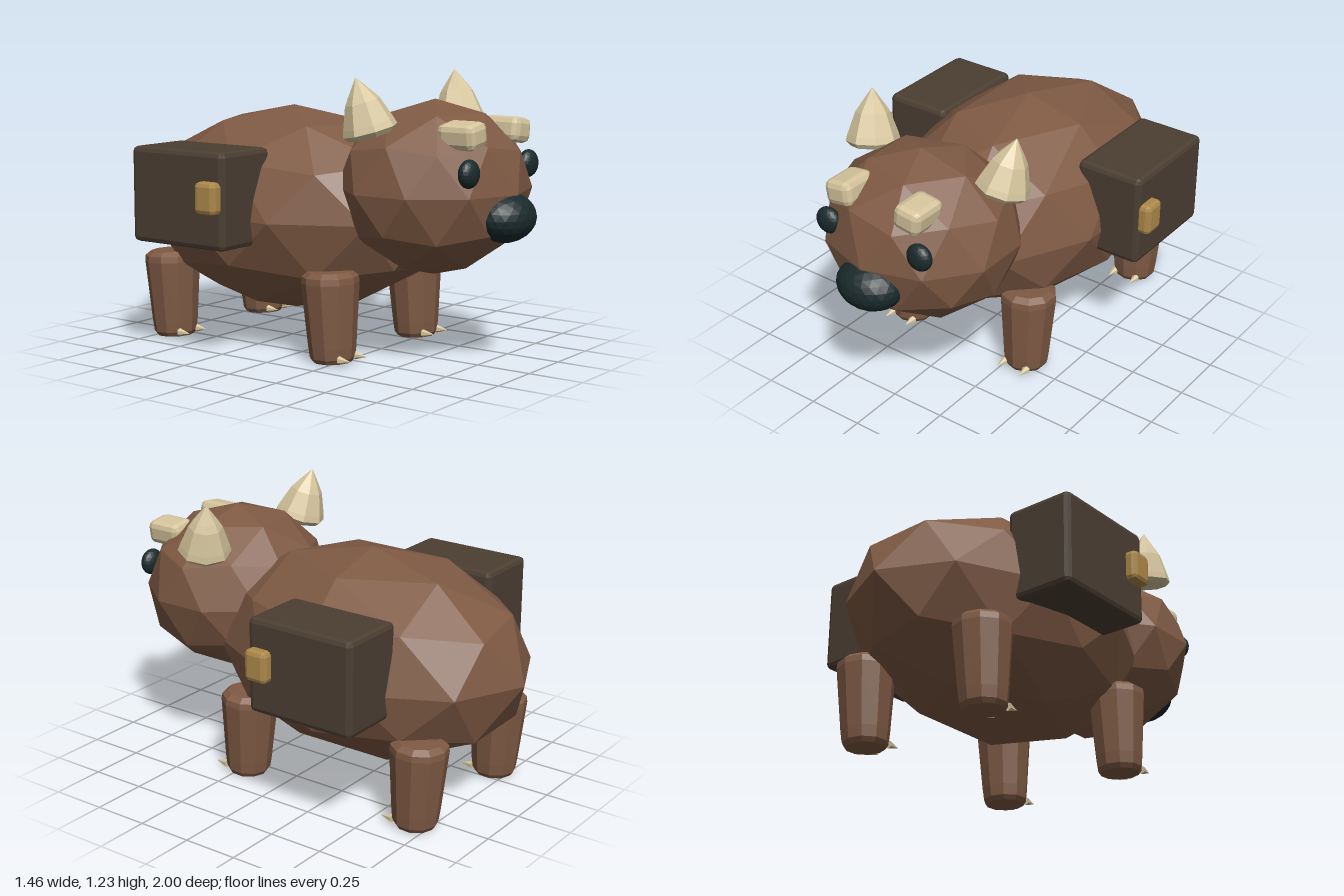
import * as THREE from 'three';
import { RoundedBoxGeometry } from 'three/addons/geometries/RoundedBoxGeometry.js';

function flat(name, color) {
  const m = new THREE.MeshStandardMaterial({ color, flatShading: true });
  m.name = name;
  return m;
}

export function createModel() {
  const root = new THREE.Group();
  root.name = 'hornedPackBeast';
  const hide = flat('brown hide', 0x7f5a44);
  const bone = flat('pale bone', 0xd6c69e);
  const dark = flat('dark nose and eyes', 0x1a2a2c);
  const leather = flat('dark leather', 0x4c3f33);
  const brass = flat('brass', 0xae8a4a);

  const add = (name, geo, mat, x, y, z, parent = root) => {
    const mesh = new THREE.Mesh(geo, mat);
    mesh.name = name;
    mesh.position.set(x, y, z);
    parent.add(mesh);
    return mesh;
  };

  // Faceted ball with a vertex at the top and bottom, stretched to the radii
  const ball = (rx, ry, rz, detail) =>
    new THREE.IcosahedronGeometry(1, detail)
      .rotateX(-Math.atan((1 + Math.sqrt(5)) / 2))
      .rotateY(Math.PI / 2)
      .scale(rx, ry, rz);

  // Turned shape from [radius, height] pairs, bottom to top
  const turned = (profile, sides) =>
    new THREE.LatheGeometry(profile.map(([r, y]) => new THREE.Vector2(r, y)), sides);

  add('body', ball(0.526, 0.466, 0.765, 1), hide, 0, 0.606, -0.235);
  add('head', ball(0.436, 0.378, 0.41, 1), hide, 0, 0.754, 0.523);
  add('nose', ball(0.152, 0.107, 0.125, 3), dark, 0, 0.655, 0.873);

  const hornGeo = turned([[0, 0], [0.098, 0], [0.118, 0.022], [0.11, 0.05],
    [0.075, 0.145], [0.055, 0.175], [0, 0.25]], 8);
  const legGeo = turned([[0, 0], [0.085, 0], [0.098, 0.02], [0.104, 0.07],
    [0.126, 0.345], [0.123, 0.372], [0.096, 0.392], [0, 0.392]], 10);
  const clawGeo = new THREE.ConeGeometry(0.019, 0.06, 6).rotateX(Math.PI / 2);
  const eyeGeo = ball(0.06, 0.06, 0.038, 3);
  const browGeo = new RoundedBoxGeometry(0.13, 0.108, 0.176, 1, 0.028);
  const bagGeo = new RoundedBoxGeometry(0.315, 0.418, 0.515, 1, 0.022);
  const claspGeo = new RoundedBoxGeometry(0.07, 0.138, 0.108, 1, 0.02);

  for (const s of [1, -1]) {
    const side = s > 0 ? 'left' : 'right';

    // Face
    add(side + 'Eye', eyeGeo, dark, s * 0.239, 0.856, 0.842);
    add(side + 'Brow', browGeo, bone, s * 0.178, 1.003, 0.77).rotation.z = -s * 0.14;
    const horn = add(side + 'Horn', hornGeo, bone, s * 0.34, 0.995, 0.433);
    horn.rotation.set(-0.22, 0, -s * 0.16);

    // Saddle bags
    add(side + 'Bag', bagGeo, leather, s * 0.525, 0.709, -0.343);
    add(side + 'Clasp', claspGeo, brass, s * 0.694, 0.726, -0.152);

    // Legs with two claws each
    for (const [end, z] of [['Front', 0.215], ['Rear', -0.69]]) {
      const leg = new THREE.Group();
      leg.name = side + end + 'Leg';
      leg.position.set(s * 0.322, 0.01, z);
      root.add(leg);
      const limb = add('limb', legGeo, hide, 0, 0, 0.005, leg);
      limb.rotation.x = -0.04;
      for (const dx of [-0.058, 0.058]) add('claw', clawGeo, bone, dx, 0.026, 0.112, leg);
    }
  }
  return root;
}
